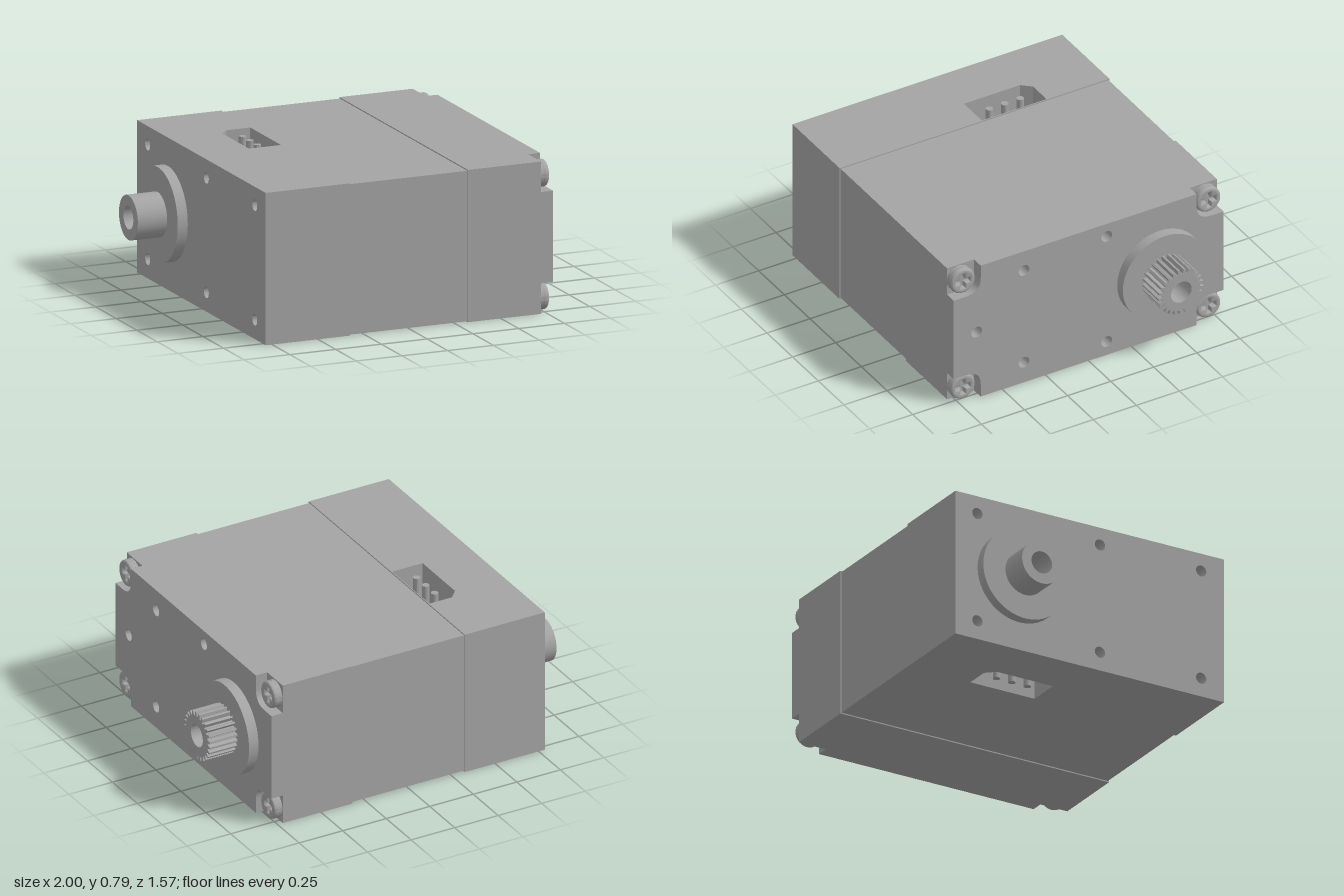
import * as THREE from 'three';
import { toCreasedNormals } from 'three/addons/utils/BufferGeometryUtils.js';

const W = 0.783, H = 0.785;          // half depth and height of the case
const AXIS_Z = -0.41, AXIS_Y = 0.395; // output shaft axis

export function createModel() {
  const group = new THREE.Group();
  const grey = new THREE.MeshStandardMaterial({ color: 0xa4a4a4 });
  grey.name = 'case grey';

  const add = (name, geometry) => {
    const mesh = new THREE.Mesh(toCreasedNormals(geometry, 0.5), grey);
    mesh.name = name;
    group.add(mesh);
    return mesh;
  };
  const box = (name, x0, x1, y0, y1, z0, z1) => {
    const g = new THREE.BoxGeometry(x1 - x0, y1 - y0, z1 - z0);
    add(name, g.translate((x0 + x1) / 2, (y0 + y1) / 2, (z0 + z1) / 2));
  };
  const circle = (u, v, r, Type = THREE.Path) => new Type().absarc(u, v, r, 0, Math.PI * 2, false);
  const polygon = (points, Type = THREE.Shape) => new Type(points.map(([u, v]) => new THREE.Vector2(u, v)));
  const rect = (u0, u1, v0, v1) => polygon([[u0, v0], [u1, v0], [u1, v1], [u0, v1]]);

  // Profile in (-z, y), extruded along x
  const alongX = (name, shape, x0, x1, options = {}) => {
    const g = new THREE.ExtrudeGeometry(shape, { depth: x1 - x0, bevelEnabled: false, curveSegments: 32, ...options });
    return add(name, g.rotateY(Math.PI / 2).translate(x0, 0, 0));
  };
  // Profile in (x, -z), extruded along y
  const alongY = (name, shape, y0, y1) => {
    const g = new THREE.ExtrudeGeometry(shape, { depth: y1 - y0, bevelEnabled: false });
    add(name, g.rotateX(-Math.PI / 2).translate(0, y0, 0));
  };

  // Rear case: end plate with six screw holes
  const endPlate = rect(-W, W, 0, H);
  for (const z of [-0.655, 0.06, 0.65])
    for (const y of [0.1, 0.69]) endPlate.holes.push(circle(-z, y, 0.03));
  alongX('endPlate', endPlate, -0.785, -0.68);

  // Rear case: connector pockets above and below a solid core
  const pocketDepth = 0.26;
  const pocketSlab = rect(-0.68, -0.325, -W, W);
  pocketSlab.holes.push(polygon([[-0.505, 0.045], [-0.33, 0.045], [-0.33, 0.42], [-0.46, 0.42], [-0.505, 0.37]], THREE.Path));
  alongY('upperPocketCase', pocketSlab, H - pocketDepth, H);
  alongY('lowerPocketCase', pocketSlab, 0, pocketDepth);
  box('rearCore', -0.68, -0.325, pocketDepth, H - pocketDepth, -W, W);

  // Connector pins
  for (const z of [-0.32, -0.23, -0.14]) {
    const pin = new THREE.CylinderGeometry(0.019, 0.019, H - 0.02, 20);
    add('connectorPin', pin.translate(-0.417, H / 2, z));
  }

  // Slightly recessed middle case
  box('middleCase', -0.325, 0.32, 0.006, H - 0.006, -W + 0.006, W - 0.006);

  // Gear case: solid block, then two plates carrying the mounting holes
  box('gearCase', 0.32, 0.66, 0, H, -W, W);
  const mountHoles = [[0.375, 0.67], [0.65, 0.395], [0.375, 0.12], [-0.105, 0.71], [-0.105, 0.08]]
    .map(([z, y]) => circle(-z, y, 0.031));
  const innerPlate = rect(-W, W, 0, H);
  innerPlate.holes.push(...mountHoles);
  alongX('gearCasePlate', innerPlate, 0.66, 0.72);

  // Front cover with a rounded notch at each corner
  const n = 0.157, r = 0.085;
  const cover = new THREE.Shape();
  cover.moveTo(-W + n, 0);
  cover.lineTo(W - n, 0);
  cover.lineTo(W - n, n - r);
  cover.quadraticCurveTo(W - n, n, W - n + r, n);
  cover.lineTo(W, n);
  cover.lineTo(W, H - n);
  cover.lineTo(W - n + r, H - n);
  cover.quadraticCurveTo(W - n, H - n, W - n, H - n + r);
  cover.lineTo(W - n, H);
  cover.lineTo(-W + n, H);
  cover.lineTo(-W + n, H - n + r);
  cover.quadraticCurveTo(-W + n, H - n, -W + n - r, H - n);
  cover.lineTo(-W, H - n);
  cover.lineTo(-W, n);
  cover.lineTo(-W + n - r, n);
  cover.quadraticCurveTo(-W + n, n, -W + n, n - r);
  cover.holes.push(...mountHoles);
  alongX('frontCover', cover, 0.72, 0.785, { curveSegments: 12 });

  // Cross-head screws in the notches
  const a = 0.04, b = 0.011;
  const cross = [[b, b], [b, a], [-b, a], [-b, b], [-a, b], [-a, -b], [-b, -b], [-b, -a], [b, -a], [b, -b], [a, -b], [a, b]];
  for (const z of [-0.71, 0.715])
    for (const y of [0.076, 0.709]) {
      const base = alongX('screwBase', circle(0, 0, 0.07, THREE.Shape), 0.71, 0.737);
      const head = circle(0, 0, 0.07, THREE.Shape);
      head.holes.push(polygon(cross, THREE.Path));
      const top = alongX('screwHead', head, 0.742, 0.753, {
        bevelEnabled: true, bevelThickness: 0.013, bevelSize: 0.009, bevelOffset: -0.009, bevelSegments: 4,
      });
      for (const part of [base, top]) part.position.set(0, y, z);
    }

  // Shaft flanges on both ends
  const bore = () => circle(-AXIS_Z, AXIS_Y, 0.06);
  const flange = circle(-AXIS_Z, AXIS_Y, 0.244, THREE.Shape);
  flange.holes.push(bore());
  alongX('frontFlange', flange, 0.785, 0.84);
  alongX('rearFlange', flange, -0.84, -0.785);

  // Plain rear shaft
  const shaft = circle(-AXIS_Z, AXIS_Y, 0.115, THREE.Shape);
  shaft.holes.push(bore());
  alongX('rearShaft', shaft, -1, -0.84);

  // Toothed output shaft
  const teeth = 25, points = [];
  for (let i = 0; i < teeth; i++)
    for (const [t, radius] of [[0, 0.109], [0.3, 0.109], [0.5, 0.131], [0.8, 0.131]]) {
      const angle = ((i + t) / teeth) * Math.PI * 2;
      points.push([-AXIS_Z + radius * Math.cos(angle), AXIS_Y + radius * Math.sin(angle)]);
    }
  const spline = polygon(points);
  spline.holes.push(bore());
  alongX('outputSpline', spline, 0.84, 1);

  return group;
}
